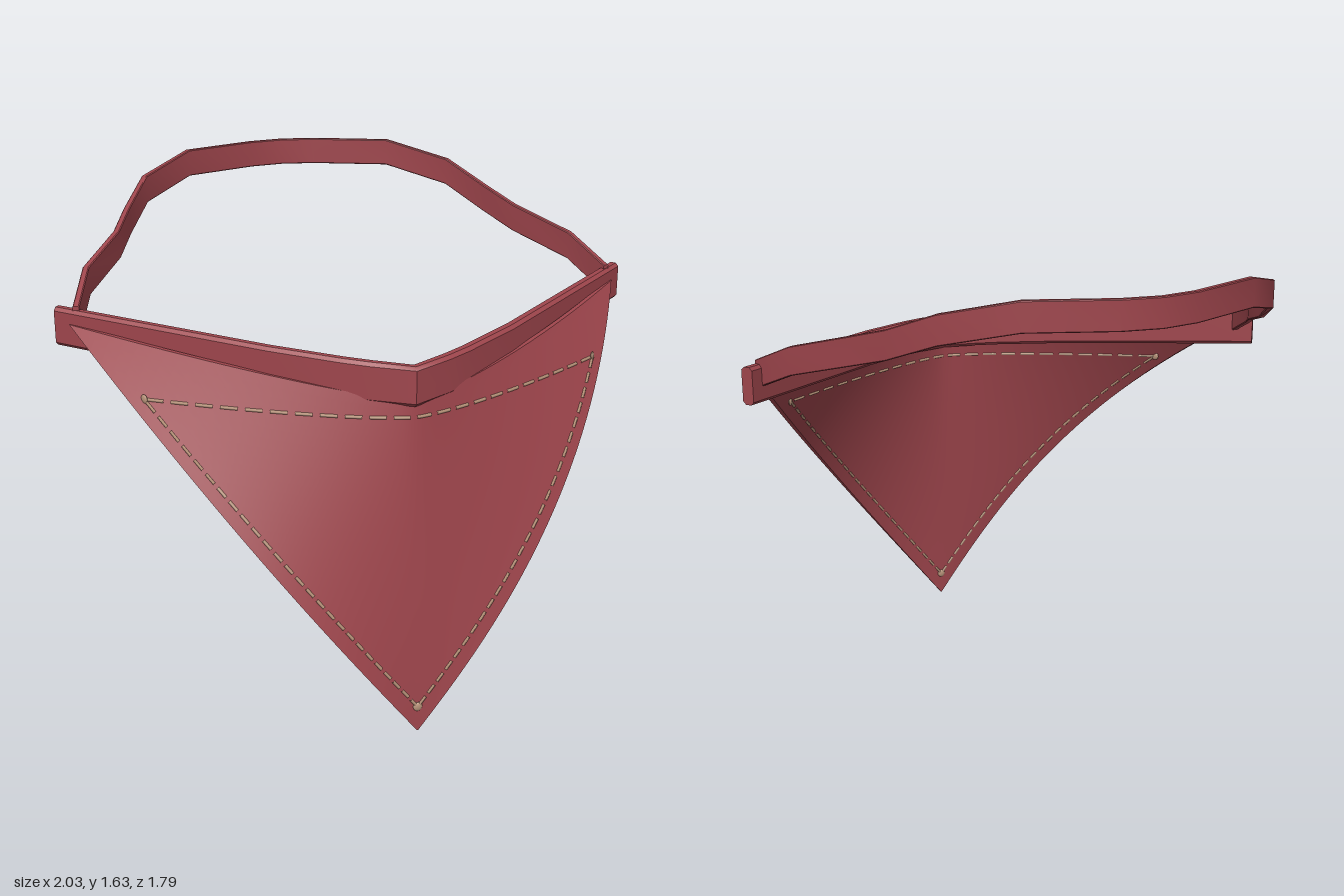
import * as THREE from 'three';
import { toCreasedNormals } from 'three/addons/utils/BufferGeometryUtils.js';

const V = (x, y, z) => new THREE.Vector3(x, y, z);

// Skin a closed solid over matching rings; each ring is one side followed by the other side reversed
function loft(rings) {
  const n = rings[0].length, last = rings.length - 1, index = [];
  const at = (i, j) => i * n + (j % n);
  const quad = (a, b, c, d) => index.push(a, b, c, a, c, d);
  for (let i = 0; i < last; i++)
    for (let j = 0; j < n; j++) quad(at(i, j), at(i, j + 1), at(i + 1, j + 1), at(i + 1, j));
  for (let j = 0; j < n / 2 - 1; j++) {
    quad(at(last, j), at(last, j + 1), at(last, n - 2 - j), at(last, n - 1 - j));
    quad(at(0, n - 1 - j), at(0, n - 2 - j), at(0, j + 1), at(0, j));
  }
  const geo = new THREE.BufferGeometry().setFromPoints(rings.flat());
  geo.setIndex(index);
  return toCreasedNormals(geo, 0.65);
}

// Sweep an upright bevelled strip along a path
function strip(path, w, h, bevel) {
  const side = [[w - bevel, -h], [w, -h + bevel], [w, h - bevel], [w - bevel, h]];
  const profile = [...side, ...side.map(([p, q]) => [-p, q]).reverse()];
  return loft(path.map((c, i) => {
    const d = path[Math.min(i + 1, path.length - 1)].clone().sub(path[Math.max(i - 1, 0)]);
    const r = V(d.z, 0, -d.x).normalize();
    return profile.map(([p, q]) => c.clone().addScaledVector(r, p).add(V(0, q, 0)));
  }));
}

// Full path from its +x half (which ends on the centre line)
const mirrorPath = (half) => [
  ...half.map((p) => V(-p.x, p.y, p.z)),
  ...half.slice(0, -1).reverse(),
];

// Cloth surface: t runs across (-1..1), s from the lower tip (0) to the top (1)
function cloth(t, s, inset = 0) {
  const a = Math.abs(t);
  const centre = 0.893 - 0.09 * s ** 1.3, edge = 0.893 - 0.753 * s ** 2.52;
  const p = V(0.97 * s * t, s * (1.12 + 0.13 * a), centre + (edge - centre) * a ** (2 - 0.65 * s));
  const inward = V(-p.x, 0, -p.z).normalize();
  return p.addScaledVector(inward, inset);
}

// Point on the cloth seen at x, y from the front
function onCloth(x, y, inset) {
  const s = (y - 0.134 * Math.abs(x)) / 1.12;
  return cloth(x / (0.97 * s), s, inset);
}

export function createModel() {
  const model = new THREE.Group();
  const red = new THREE.MeshStandardMaterial({ color: 0x9e454c });
  red.name = 'faded red cloth';
  const tan = new THREE.MeshStandardMaterial({ color: 0xb8947a });
  tan.name = 'tan thread';
  const add = (name, geo, mat, parent = model) => {
    const mesh = new THREE.Mesh(geo, mat);
    mesh.name = name;
    parent.add(mesh);
    return mesh;
  };

  // Triangular cloth with a thin body
  const thickness = 0.016, across = 48, rows = 36, rings = [];
  for (let i = 0; i <= rows; i++) {
    const s = Math.max(i / rows, 0.002), outer = [], inner = [];
    for (let j = 0; j <= across; j++) {
      const t = (2 * j) / across - 1;
      outer.push(cloth(t, s));
      inner.push(cloth(t, s, thickness));
    }
    rings.push([...outer, ...inner.reverse()]);
  }
  add('triangleCloth', loft(rings), red);

  // Folded band along the top edge
  const bandHalf = [[1, 0.085], [0.8, 0.245], [0.6, 0.405], [0.4, 0.565], [0.2, 0.7], [0.12, 0.745], [0, 0.8]]
    .map(([x, z]) => V(x, 1.17 + 0.065 * x, z));
  add('topBand', strip(mirrorPath(bandHalf), 0.021, 0.065, 0.011), red);

  // Strap around the back of the head
  const strapHalf = [
    [0.945, 1.26, 0.14], [0.885, 1.34, -0.05], [0.75, 1.405, -0.26], [0.69, 1.45, -0.41],
    [0.595, 1.525, -0.59], [0.4, 1.58, -0.76], [0.13, 1.58, -0.867], [0, 1.58, -0.888],
  ].map((p) => V(...p));
  add('headStrap', strip(mirrorPath(strapHalf).reverse(), 0.011, 0.049, 0.003), red);

  // Dashed stitching on both faces, with a knot at each corner
  const stitching = new THREE.Group();
  stitching.name = 'stitching';
  model.add(stitching);
  const corners = [[-0.775, 1.07], [0.775, 1.07], [0, 0.09]];
  const dashes = [22, 26, 26];
  for (const inset of [0, thickness]) {
    corners.forEach(([x0, y0], k) => {
      const [x1, y1] = corners[(k + 1) % 3];
      for (let i = 0; i < dashes[k]; i++) {
        const points = [0.1, 0.4, 0.8].map((f) => {
          const u = (i + f) / dashes[k];
          return onCloth(x0 + (x1 - x0) * u, y0 + (y1 - y0) * u, inset);
        });
        const curve = new THREE.CatmullRomCurve3(points);
        add('stitch', new THREE.TubeGeometry(curve, 4, 0.0055, 5), tan, stitching);
      }
      const knot = add('cornerKnot', new THREE.SphereGeometry(0.016, 10, 8), tan, stitching);
      knot.position.copy(onCloth(x0, y0, inset));
      knot.lookAt(knot.position.x * 2, knot.position.y, knot.position.z * 2);
      knot.scale.z = 0.4;
    });
  }
  return model;
}
